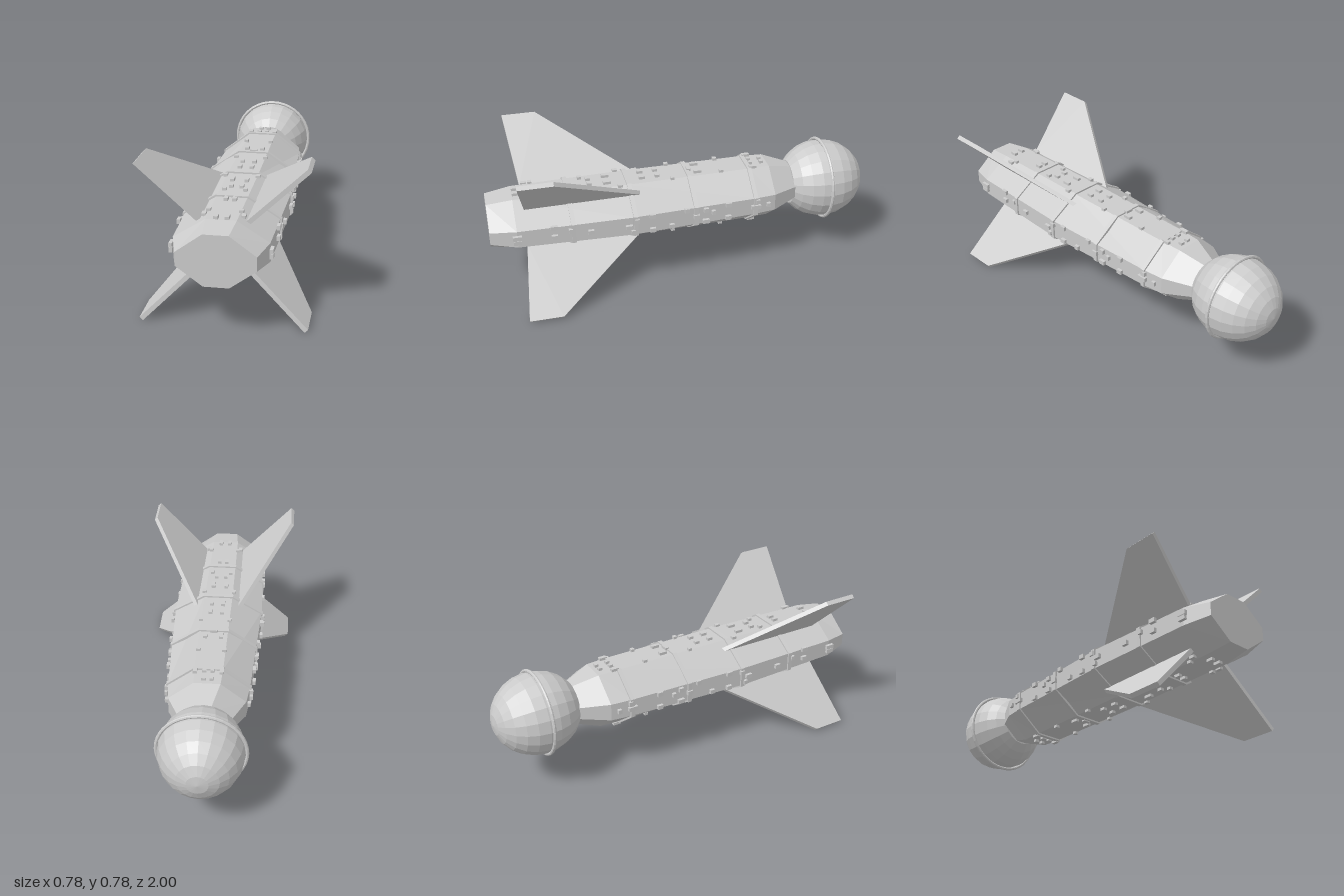
import * as THREE from 'three';

const CY = 0.391; // height of the long axis
const grey = new THREE.MeshStandardMaterial({ color: 0xcccccc, flatShading: true });

// hull stations: z, half width, half height, half of top flat, half of side flat
const stations = [
  [1.0, 0.18, 0.123, 0.058, 0.033],
  [0.87, 0.218, 0.14, 0.07, 0.045],
  [0.3, 0.235, 0.147, 0.075, 0.05],
  [-0.35, 0.203, 0.15, 0.07, 0.046],
  [-0.46, 0.19, 0.148, 0.065, 0.045],
  [-0.61, 0.112, 0.102, 0.025, 0.03],
];

// interpolated hull station at any z
function stationAt(z) {
  let i = 0;
  while (i < stations.length - 2 && stations[i + 1][0] > z) i++;
  const a = stations[i], b = stations[i + 1];
  const t = (a[0] - z) / (a[0] - b[0]);
  return a.map((v, k) => THREE.MathUtils.lerp(v, b[k], t));
}

// closed octagonal loft through stations running from front to back
function loft(list) {
  const pos = [], index = [], n = 8;
  for (const [z, w, h, tx, sy] of list) {
    const ring = [[w, -sy], [w, sy], [tx, h], [-tx, h], [-w, sy], [-w, -sy], [-tx, -h], [tx, -h]];
    for (const [x, y] of ring) pos.push(x, y, z);
  }
  const last = (list.length - 1) * n;
  for (let s = 0; s < last; s += n) {
    for (let i = 0; i < n; i++) {
      const j = (i + 1) % n;
      index.push(s + i, s + n + i, s + j, s + j, s + n + i, s + n + j);
    }
  }
  for (let i = 1; i < n - 1; i++) {
    index.push(0, i, i + 1, last, last + i + 1, last + i);
  }
  const g = new THREE.BufferGeometry();
  g.setAttribute('position', new THREE.Float32BufferAttribute(pos, 3));
  g.setIndex(index);
  const flat = g.toNonIndexed();
  flat.computeVertexNormals();
  return flat;
}

export function createModel() {
  const model = new THREE.Group();
  model.name = 'finnedCraft';
  const add = (name, geometry, parent = model) => {
    const m = new THREE.Mesh(geometry, grey);
    m.name = name;
    parent.add(m);
    return m;
  };

  add('hull', loft(stations)).position.y = CY;

  // raised bands around the hull
  for (const z of [0.595, 0.285, -0.03, -0.35]) {
    const [, w, h, tx, sy] = stationAt(z);
    const e = 0.008;
    const ring = (d) => [z + d, w + e, h + e, tx + e / 2, sy + e / 2];
    add('hullBand', loft([ring(0.011), ring(-0.011)])).position.y = CY;
  }

  // rear globe, cut off where it meets the hull
  const profile = [new THREE.Vector2(0, -0.185)];
  const start = -Math.asin(0.185 / 0.225), rings = 10;
  for (let i = 0; i <= rings; i++) {
    const a = THREE.MathUtils.lerp(start, Math.PI / 2, i / rings);
    profile.push(new THREE.Vector2(Math.max(0, 0.206 * Math.cos(a)), 0.225 * Math.sin(a)));
  }
  const globe = new THREE.LatheGeometry(profile, 20);
  globe.rotateX(-Math.PI / 2);
  add('globe', globe).position.set(0, CY, -0.775);
  add('globeRing', new THREE.TorusGeometry(0.212, 0.009, 8, 40)).position.set(0, CY, -0.772);

  // four swept fins on the diagonals; shape x runs outward, y runs along z
  const finShape = new THREE.Shape([
    [0.12, 0.19], [0.165, 0.235], [0.54, 0.69], [0.54, 0.86], [0.155, 0.82], [0.12, 0.815],
  ].map(([x, y]) => new THREE.Vector2(x, y)));
  const fin = new THREE.ExtrudeGeometry(finShape, { depth: 0.022, bevelEnabled: false });
  fin.translate(0, 0, -0.011);
  fin.rotateX(Math.PI / 2);
  for (let i = 0; i < 4; i++) {
    const m = add('fin', fin);
    m.position.y = CY;
    m.rotation.z = Math.PI / 4 + (i * Math.PI) / 2;
  }

  // small surface plates, mirrored left to right and top to bottom
  const plates = new THREE.Group();
  plates.name = 'surfacePlates';
  plates.position.y = CY;
  model.add(plates);

  // top and bottom: z, x offset, length
  const topPlates = [
    [0.85, 0.025, 0.035], [0.8, 0.09, 0.03], [0.77, 0.075, 0.02], [0.64, 0.02, 0.03],
    [0.52, 0.05, 0.02], [0.48, 0.025, 0.025], [0.39, 0.035, 0.04], [0.33, 0.08, 0.025],
    [0.21, 0.03, 0.03], [0.13, 0.03, 0.025], [0.06, 0.075, 0.02], [-0.04, 0.01, 0.02],
    [-0.08, 0.04, 0.04], [-0.2, 0.065, 0.02], [-0.37, 0.02, 0.02], [-0.37, 0.065, 0.04],
    [-0.43, 0.02, 0.02],
  ];
  for (const [z, x, len] of topPlates) {
    const [, w, h, tx, sy] = stationAt(z);
    // plates beyond the flat follow the slope
    const drop = Math.max(0, x - tx) * (h - sy) / (w - tx);
    for (const sx of [-1, 1]) for (const s of [-1, 1]) {
      add('plate', new THREE.BoxGeometry(0.02, 0.014, len), plates)
        .position.set(sx * x, s * (h - drop + 0.007), z);
    }
  }

  // sides: z, y offset, length
  const sidePlates = [
    [0.87, 0.012, 0.045], [0.87, -0.012, 0.04], [0.69, 0.048, 0.035], [0.69, -0.005, 0.03],
    [0.61, 0.02, 0.02], [0.51, 0, 0.03], [0.32, 0, 0.035], [0.3, -0.03, 0.02],
    [0.28, 0.03, 0.025], [0.2, 0.045, 0.03], [0.2, -0.035, 0.03], [0.1, -0.03, 0.025],
    [0.02, 0.045, 0.025], [-0.03, 0, 0.03], [-0.08, 0.03, 0.025], [-0.08, -0.035, 0.035],
    [-0.12, 0.01, 0.02], [-0.2, 0.04, 0.03], [-0.2, -0.035, 0.03], [-0.35, 0, 0.05],
    [-0.36, 0.03, 0.02], [-0.42, 0, 0.02],
  ];
  for (const [z, y, len] of sidePlates) {
    const w = stationAt(z)[1];
    for (const s of [-1, 1]) {
      add('plate', new THREE.BoxGeometry(0.016, 0.022, len), plates)
        .position.set(s * (w + 0.008), y, z);
    }
  }

  return model;
}
